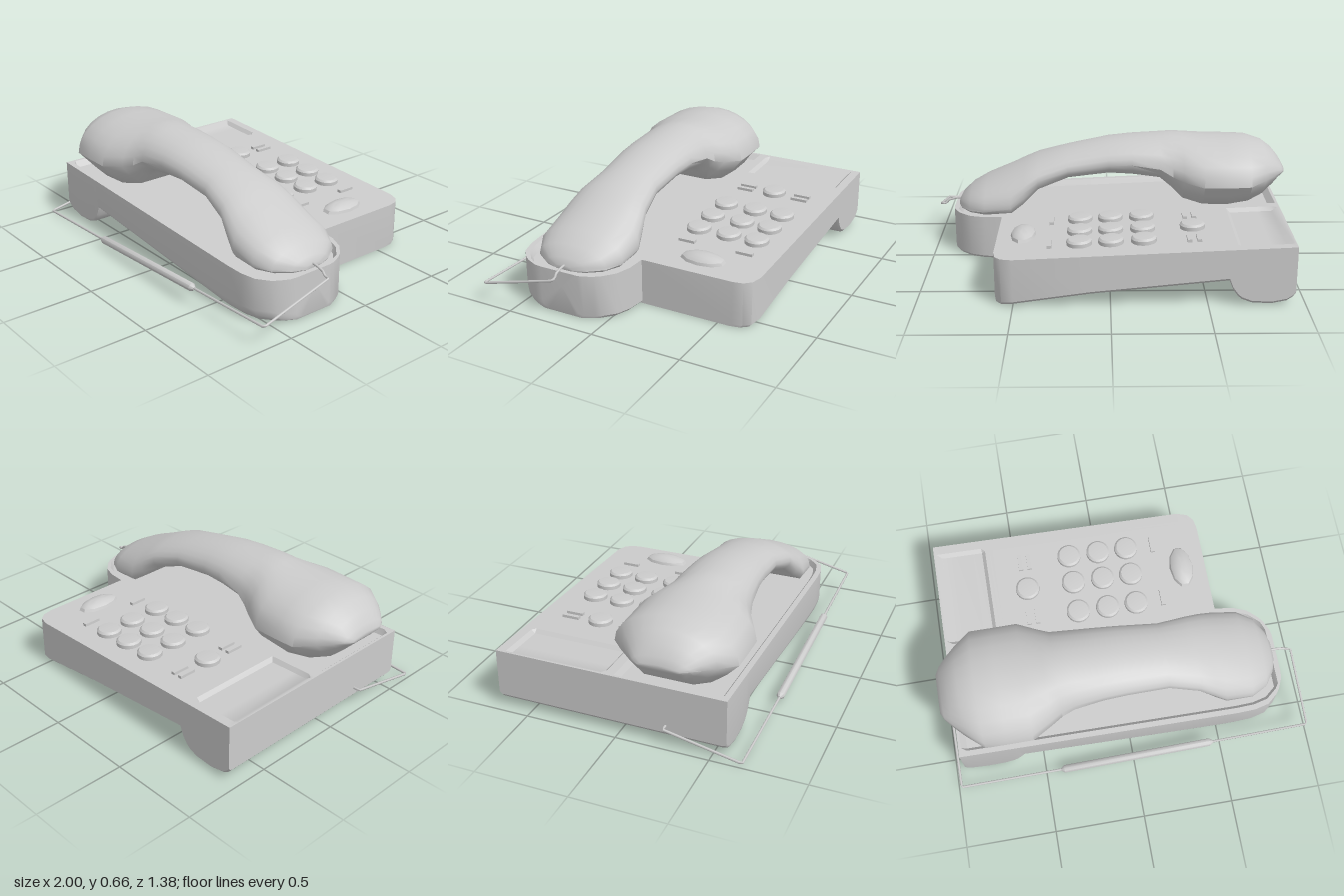
import * as THREE from 'three';
import { toCreasedNormals } from 'three/addons/utils/BufferGeometryUtils.js';

const material = new THREE.MeshStandardMaterial({ color: 0xcccccc });
const SLOPE = 0.0436;
const topY = x => 0.32 - SLOPE * (x + 0.945);

function part(name, geometry, parent) {
  const mesh = new THREE.Mesh(geometry, material);
  mesh.name = name;
  parent.add(mesh);
  return mesh;
}

// Skin closed [z, y] sections placed along x, capped at both ends
function loft(stations, section, crease) {
  const rings = stations.map(s => section(...s).map(([z, y]) => [s[0], y, z]));
  const n = rings[0].length, pos = [], index = [];
  rings.forEach(r => r.forEach(p => pos.push(...p)));
  for (let i = 0; i < rings.length - 1; i++) {
    for (let j = 0; j < n; j++) {
      const k = (j + 1) % n;
      const a = i * n + j, b = a + n, c = (i + 1) * n + k, d = i * n + k;
      index.push(a, d, c, a, c, b);
    }
  }
  [0, rings.length - 1].forEach((ri, end) => {
    const center = pos.length / 3;
    for (let a = 0; a < 3; a++) pos.push(rings[ri].reduce((t, p) => t + p[a], 0) / n);
    for (let j = 0; j < n; j++) {
      const p = ri * n + j, q = ri * n + (j + 1) % n;
      if (end) index.push(center, p, q); else index.push(center, q, p);
    }
  });
  const g = new THREE.BufferGeometry();
  g.setAttribute('position', new THREE.Float32BufferAttribute(pos, 3));
  g.setIndex(index);
  return toCreasedNormals(g, crease);
}

// Base section: panel recess depth p, handset tray depth d, bottom rounding r
function baseSection(x, z0, z1, yb, p, d, r) {
  const y = topY(x), c = z => Math.max(z, z0), b = Math.max(-0.03, z0 + 0.025);
  return [
    [z0, y], [c(-0.64), y], [c(-0.62), y - p], [c(-0.1), y - p], [c(-0.08), y],
    [b, y], [b + 0.02, y - d], [z1 - 0.05, y - d], [z1 - 0.03, y], [z1, y],
    [z1, yb + r], [z1 - 0.1 * r, yb + 0.55 * r], [z1 - 0.4 * r, yb + 0.2 * r], [z1 - r, yb],
    [z0 + 0.015, yb], [z0, yb + 0.015],
  ];
}

// Handset section: rounded upper half, tapering lower half
function handsetSection(x, w, top, mid, bottom, wb) {
  const pts = [], zc = 0.242, N = 12;
  for (let i = 0; i <= N; i++) {
    const a = Math.PI * (1 - i / N);
    pts.push([zc + w * Math.cos(a), mid + (top - mid) * Math.sin(a)]);
  }
  for (const [z, y] of [[(w + wb) / 2 + 0.01, (mid + bottom) / 2], [wb, bottom]]) pts.push([zc + z, y]);
  for (const [z, y] of [[wb, bottom], [(w + wb) / 2 + 0.01, (mid + bottom) / 2]]) pts.push([zc - z, y]);
  return pts;
}

// Round bar through straight segments
function wire(name, points, radius, parent) {
  const path = new THREE.CurvePath();
  const v = points.map(p => new THREE.Vector3(...p));
  for (let i = 0; i < v.length - 1; i++) path.add(new THREE.LineCurve3(v[i], v[i + 1]));
  return part(name, new THREE.TubeGeometry(path, 60, radius, 6), parent);
}

function createModel() {
  const phone = new THREE.Group();
  phone.name = 'telephone';

  // Base: rounded foot on the right end, sloping underside, cradle lobe on the left end
  part('base', loft([
    [-0.945, -0.69, 0.57, 0.06, 0, 0, 0.02],
    [-0.93, -0.69, 0.57, 0.042, 0, 0, 0.02],
    [-0.9, -0.69, 0.57, 0.022, 0.02, 0.03, 0.02],
    [-0.82, -0.69, 0.57, 0.006, 0.02, 0.03, 0.02],
    [-0.72, -0.69, 0.57, 0.012, 0.02, 0.03, 0.02],
    [-0.67, -0.69, 0.57, 0.032, 0.02, 0.03, 0.02],
    [-0.65, -0.69, 0.57, 0.05, 0, 0.03, 0.02],
    [-0.625, -0.69, 0.57, 0.085, 0, 0.03, 0.02],
    [-0.605, -0.69, 0.57, 0.135, 0, 0.03, 0.02],
    [0.1, -0.69, 0.57, 0.065, 0, 0.03, 0.03],
    [0.5, -0.69, 0.57, 0.01, 0, 0.03, 0.06],
    [0.56, -0.672, 0.57, 0, 0, 0.03, 0.07],
    [0.59, -0.635, 0.57, 0, 0, 0.03, 0.07],
    [0.6, -0.58, 0.57, 0, 0, 0.03, 0.07],
    [0.6, -0.06, 0.57, 0, 0, 0.03, 0.07],
    [0.7, -0.05, 0.565, 0, 0, 0.03, 0.07],
    [0.78, -0.02, 0.545, 0, 0, 0.03, 0.07],
    [0.84, 0.035, 0.495, 0, 0, 0.03, 0.07],
    [0.86, 0.065, 0.465, 0, 0, 0, 0.06],
    [0.885, 0.12, 0.41, 0, 0, 0, 0.05],
    [0.89, 0.15, 0.37, 0.01, 0, 0, 0.04],
  ], baseSection, 0.6), phone);

  // Handset: flared earpiece, arched grip, flat mouthpiece
  part('handset', loft([
    [-1.0, 0.11, 0.475, 0.46, 0.45, 0.09],
    [-0.98, 0.15, 0.51, 0.46, 0.43, 0.1],
    [-0.94, 0.195, 0.56, 0.455, 0.385, 0.11],
    [-0.88, 0.255, 0.605, 0.445, 0.33, 0.13],
    [-0.79, 0.33, 0.632, 0.43, 0.305, 0.19],
    [-0.67, 0.33, 0.638, 0.425, 0.295, 0.22],
    [-0.53, 0.33, 0.642, 0.425, 0.29, 0.2],
    [-0.42, 0.27, 0.653, 0.44, 0.31, 0.15],
    [-0.36, 0.238, 0.658, 0.46, 0.37, 0.14],
    [-0.29, 0.222, 0.653, 0.5, 0.43, 0.14],
    [-0.13, 0.205, 0.642, 0.52, 0.455, 0.15],
    [0, 0.197, 0.628, 0.515, 0.463, 0.15],
    [0.23, 0.186, 0.58, 0.48, 0.435, 0.15],
    [0.4, 0.218, 0.533, 0.43, 0.375, 0.18],
    [0.48, 0.24, 0.5, 0.37, 0.3, 0.21],
    [0.55, 0.256, 0.468, 0.31, 0.252, 0.235],
    [0.7, 0.25, 0.4, 0.28, 0.24, 0.23],
    [0.79, 0.2, 0.35, 0.265, 0.24, 0.185],
    [0.845, 0.115, 0.3, 0.258, 0.24, 0.11],
    [0.865, 0.05, 0.265, 0.25, 0.24, 0.04],
  ], handsetSection, 0.8), phone);

  // Controls sit on the sloping top
  const controls = new THREE.Group();
  controls.name = 'controls';
  phone.add(controls);
  const place = (name, geometry, x, z) => {
    const mesh = part(name, geometry, controls);
    mesh.position.set(x, topY(x), z);
    mesh.rotation.z = -Math.atan(SLOPE);
    return mesh;
  };

  const keyGeometry = toCreasedNormals(new THREE.LatheGeometry(
    [[0.067, -0.01], [0.067, 0.02], [0.056, 0.03], [0, 0.034]].map(p => new THREE.Vector2(...p)), 20), 0.6);
  for (const z of [-0.51, -0.345, -0.165]) {
    for (const x of [-0.175, -0.005, 0.16]) place('key', keyGeometry, x, z);
  }
  place('functionKey', keyGeometry, -0.44, -0.345);

  // Narrow switches: pairs beside the function key, singles beside the keypad
  const switchGeometry = new THREE.BoxGeometry(0.024, 0.03, 0.095);
  for (const z of [-0.512, -0.175]) {
    for (const x of [-0.46, -0.41, 0.315]) place('switch', switchGeometry, x, z);
  }

  // Oval faceted knob
  const knob = new THREE.SphereGeometry(1, 10, 4, 0, Math.PI * 2, 0, Math.PI / 2);
  knob.scale(0.068, 0.04, 0.128);
  place('knob', toCreasedNormals(knob, 0.5), 0.46, -0.345);

  // Cord from the mouthpiece round the front to the base, with a thick sleeve
  const cord = new THREE.Group();
  cord.name = 'cord';
  phone.add(cord);
  wire('mouthpieceCord', [
    [0.84, 0.265, 0.242], [0.89, 0.263, 0.242], [0.935, 0.25, 0.242], [0.95, 0.228, 0.242],
    [0.978, 0.228, 0.242], [0.992, 0.12, 0.665], [0.43, 0.095, 0.668],
  ], 0.007, cord);
  wire('baseCord', [
    [-0.4, 0.045, 0.668], [-0.985, 0.017, 0.665], [-0.98, 0.1, 0.25], [-0.93, 0.1, 0.25],
  ], 0.007, cord);

  const sleeve = part('cordSleeve', toCreasedNormals(new THREE.LatheGeometry(
    [[0, -0.435], [0.008, -0.435], [0.022, -0.415], [0.022, 0.415], [0.008, 0.435], [0, 0.435]]
      .map(p => new THREE.Vector2(...p)), 8), 0.9), cord);
  sleeve.position.set(0.018, 0.07, 0.668);
  sleeve.rotation.z = -Math.PI / 2 + Math.atan(0.058);

  return phone;
}

export { createModel };
